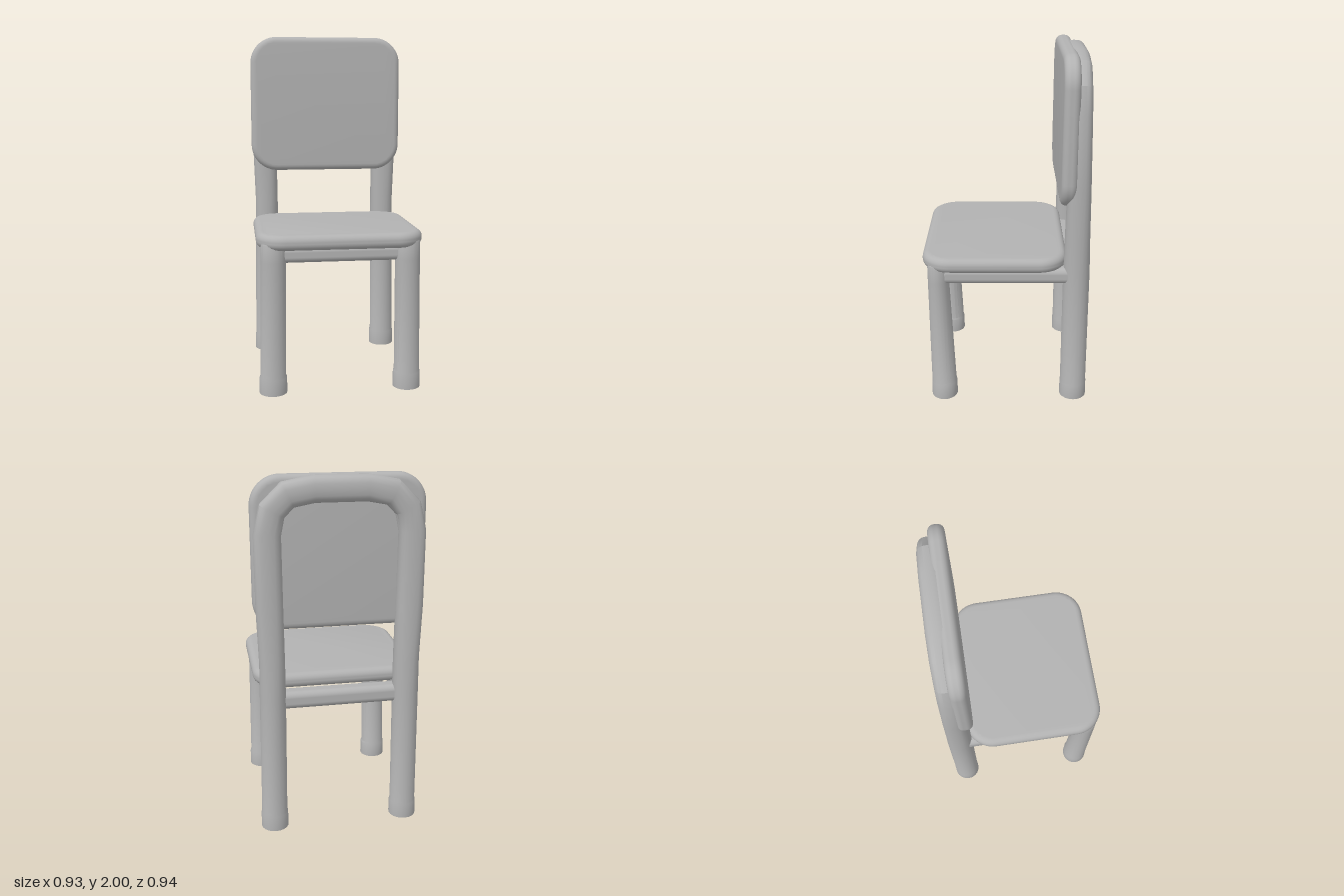
import * as THREE from 'three';
import { toCreasedNormals } from 'three/addons/utils/BufferGeometryUtils.js';
import { RoundedBoxGeometry } from 'three/addons/geometries/RoundedBoxGeometry.js';

const SIDES = 20;

// Sweeps a rounded section along rings of { x, y, z, a, b, e }:
// a = half width, b = half depth, e = squareness (1 round, smaller is boxier).
function sweep(rings) {
  const pos = [], index = [];
  const soft = (v, e) => Math.sign(v) * Math.abs(v) ** e;
  rings.forEach((r, i) => {
    const p = rings[Math.max(i - 1, 0)], q = rings[Math.min(i + 1, rings.length - 1)];
    const t = new THREE.Vector2(q.x - p.x, q.y - p.y).normalize();
    for (let k = 0; k < SIDES; k++) {
      const w = (k / SIDES) * Math.PI * 2;
      const u = soft(Math.cos(w), r.e) * r.a, v = soft(Math.sin(w), r.e) * r.b;
      pos.push(r.x + t.y * u, r.y - t.x * u, r.z + v);
    }
  });
  const last = (rings.length - 1) * SIDES, c0 = rings.length * SIDES;
  for (const r of [rings[0], rings[rings.length - 1]]) pos.push(r.x, r.y, r.z);
  for (let k = 0; k < SIDES; k++) {
    const n = (k + 1) % SIDES;
    for (let i = 0; i < last; i += SIDES) {
      index.push(i + k, i + SIDES + k, i + n, i + n, i + SIDES + k, i + SIDES + n);
    }
    index.push(c0, k, n, c0 + 1, last + n, last + k);
  }
  const g = new THREE.BufferGeometry();
  g.setAttribute('position', new THREE.Float32BufferAttribute(pos, 3));
  g.setIndex(index);
  return toCreasedNormals(g, 0.55);
}

// Soft-edged slab with rounded corners, centred, thickness along z
function slab(w, h, depth, radius, bevel) {
  const x = w / 2 - bevel, y = h / 2 - bevel, r = radius - bevel;
  const s = new THREE.Shape();
  s.moveTo(-x + r, -y);
  s.lineTo(x - r, -y);
  s.absarc(x - r, -y + r, r, -Math.PI / 2, 0);
  s.absarc(x - r, y - r, r, 0, Math.PI / 2);
  s.absarc(-x + r, y - r, r, Math.PI / 2, Math.PI);
  s.absarc(-x + r, -y + r, r, Math.PI, Math.PI * 1.5);
  const g = new THREE.ExtrudeGeometry(s, {
    depth: depth - 2 * bevel, bevelEnabled: true, bevelSize: bevel,
    bevelThickness: bevel, bevelSegments: 5, curveSegments: 6,
  });
  g.translate(0, 0, -(depth - 2 * bevel) / 2);
  return toCreasedNormals(g, 0.6);
}

export function createModel() {
  const model = new THREE.Group();
  model.name = 'chair';
  const grey = new THREE.MeshStandardMaterial({ color: 0xb2b2b2 });
  grey.name = 'plain grey';
  const add = (name, geometry, x = 0, y = 0, z = 0) => {
    const m = new THREE.Mesh(geometry, grey);
    m.name = name;
    m.position.set(x, y, z);
    model.add(m);
    return m;
  };
  const ring = (x, y, z, a, b, e = 1) => ({ x, y, z, a, b, e });

  // Seat cushion
  add('seat', slab(0.93, 0.81, 0.085, 0.16, 0.038), 0, 0.8625, 0.067).rotation.x = -Math.PI / 2;

  // Backrest pad
  add('backrestPad', slab(0.93, 0.82, 0.086, 0.16, 0.034), 0, 1.588, -0.333);

  // Rear legs running up into one arched frame
  const half = [
    ring(0.38, 0, -0.393, 0.078, 0.078),
    ring(0.38, 0.09, -0.393, 0.077, 0.077),
    ring(0.38, 0.1, -0.393, 0.073, 0.075),
    ring(0.374, 0.8, -0.392, 0.072, 0.074, 0.95),
    ring(0.373, 1.0, -0.391, 0.07, 0.07, 0.85),
    ring(0.38, 1.3, -0.39, 0.073, 0.064, 0.75),
    ring(0.382, 1.7, -0.382, 0.072, 0.062, 0.7),
    ring(0.355, 1.82, -0.38, 0.072, 0.062, 0.7),
    ring(0.275, 1.9, -0.38, 0.072, 0.064, 0.7),
    ring(0.14, 1.926, -0.38, 0.07, 0.066, 0.7),
  ];
  const mirrored = half.map((r) => ({ ...r, x: -r.x })).reverse();
  add('backFrame', sweep([...half, ...mirrored]));

  for (const s of [1, -1]) {
    // Front legs with a slightly wider foot
    add(s > 0 ? 'frontLegLeft' : 'frontLegRight', sweep([
      ring(s * 0.38, 0, 0.366, 0.078, 0.076),
      ring(s * 0.38, 0.09, 0.366, 0.077, 0.075),
      ring(s * 0.38, 0.1, 0.367, 0.072, 0.072),
      ring(s * 0.373, 0.75, 0.382, 0.07, 0.06),
      ring(s * 0.373, 0.85, 0.384, 0.068, 0.058),
      ring(s * 0.373, 0.872, 0.384, 0.055, 0.048),
    ]));
    // Side rails under the seat
    add(s > 0 ? 'sideRailLeft' : 'sideRailRight',
      new RoundedBoxGeometry(0.1, 0.095, 0.74, 4, 0.035), s * 0.375, 0.785, 0);
  }

  // Front and rear rails
  add('frontRail', new RoundedBoxGeometry(0.72, 0.09, 0.09, 4, 0.032), 0, 0.787, 0.365);
  add('rearRail', new RoundedBoxGeometry(0.72, 0.1, 0.1, 4, 0.034), 0, 0.78, -0.37);

  return model;
}
